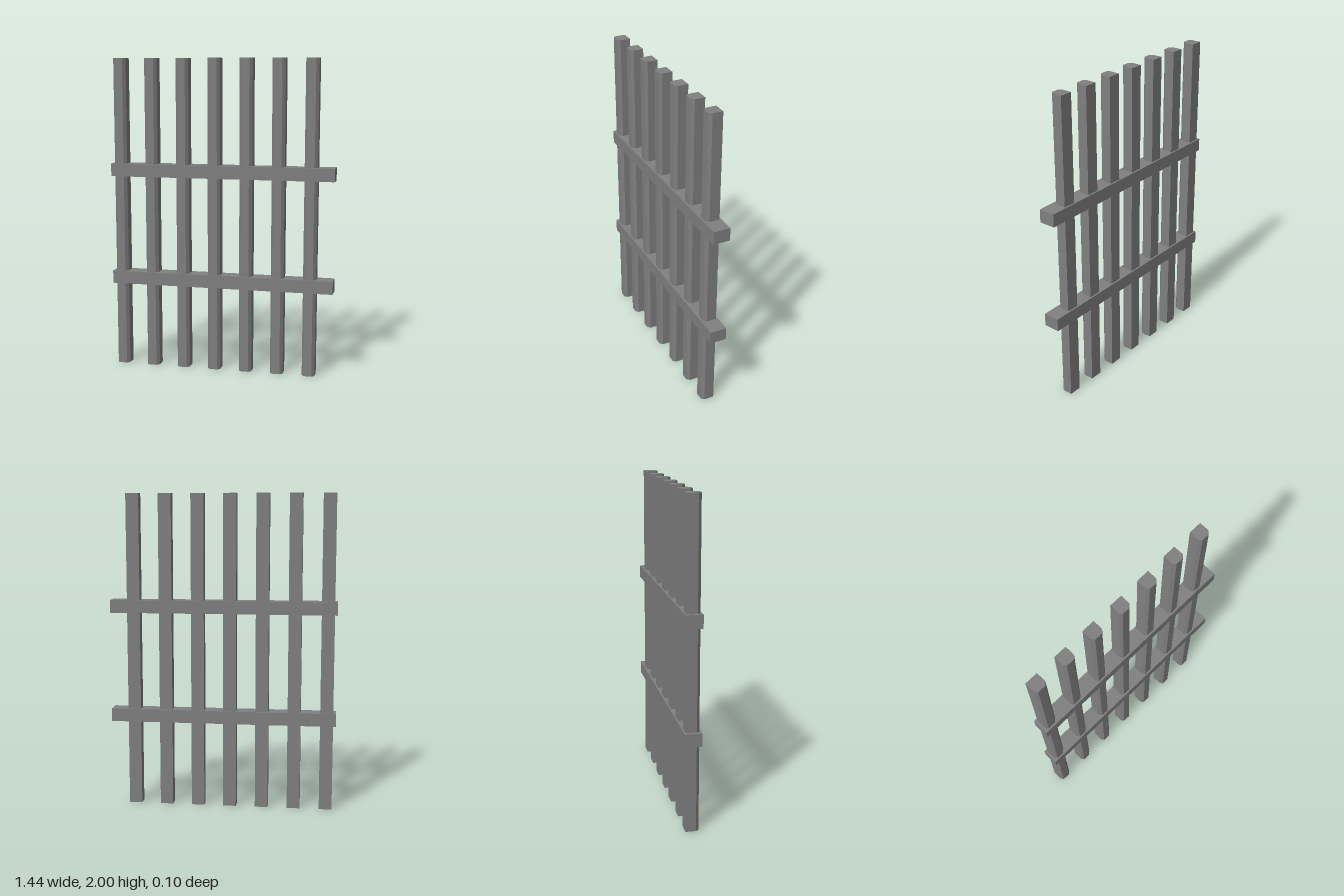
import * as THREE from 'three';

const iron = new THREE.MeshStandardMaterial({ color: 0x808080, side: THREE.DoubleSide });
iron.name = 'iron grey';

// Upright bar: square tube with chamfered front corners, closed on top and open below
function barGeometry(height) {
  const h = 0.041;
  const profile = [
    [-h, -h], [-h, h - 0.018], [-h + 0.014, h],
    [h - 0.018, h], [h, h - 0.018], [h, -h],
  ];
  const positions = [];
  profile.forEach(([x0, z0], i) => {
    const [x1, z1] = profile[(i + 1) % profile.length];
    positions.push(x0, 0, z0, x1, 0, z1, x1, height, z1);
    positions.push(x0, 0, z0, x1, height, z1, x0, height, z0);
    positions.push(0, height, 0, x0, height, z0, x1, height, z1);
  });
  const geometry = new THREE.BufferGeometry();
  geometry.setAttribute('position', new THREE.Float32BufferAttribute(positions, 3));
  geometry.computeVertexNormals();
  return geometry;
}

export function createModel() {
  const group = new THREE.Group();
  group.name = 'barGrille';

  // Seven uprights, evenly spaced and set slightly towards one end
  const bar = barGeometry(2);
  for (let i = 0; i < 7; i++) {
    const mesh = new THREE.Mesh(bar, iron);
    mesh.name = `uprightBar${i + 1}`;
    mesh.position.x = -0.662 + i * 0.2055;
    group.add(mesh);
  }

  // Two cross rails
  const rail = new THREE.BoxGeometry(1.44, 0.082, 0.104);
  [['lowerRail', 0.585], ['upperRail', 1.29]].forEach(([name, y]) => {
    const mesh = new THREE.Mesh(rail, iron);
    mesh.name = name;
    mesh.position.y = y;
    group.add(mesh);
  });

  return group;
}
